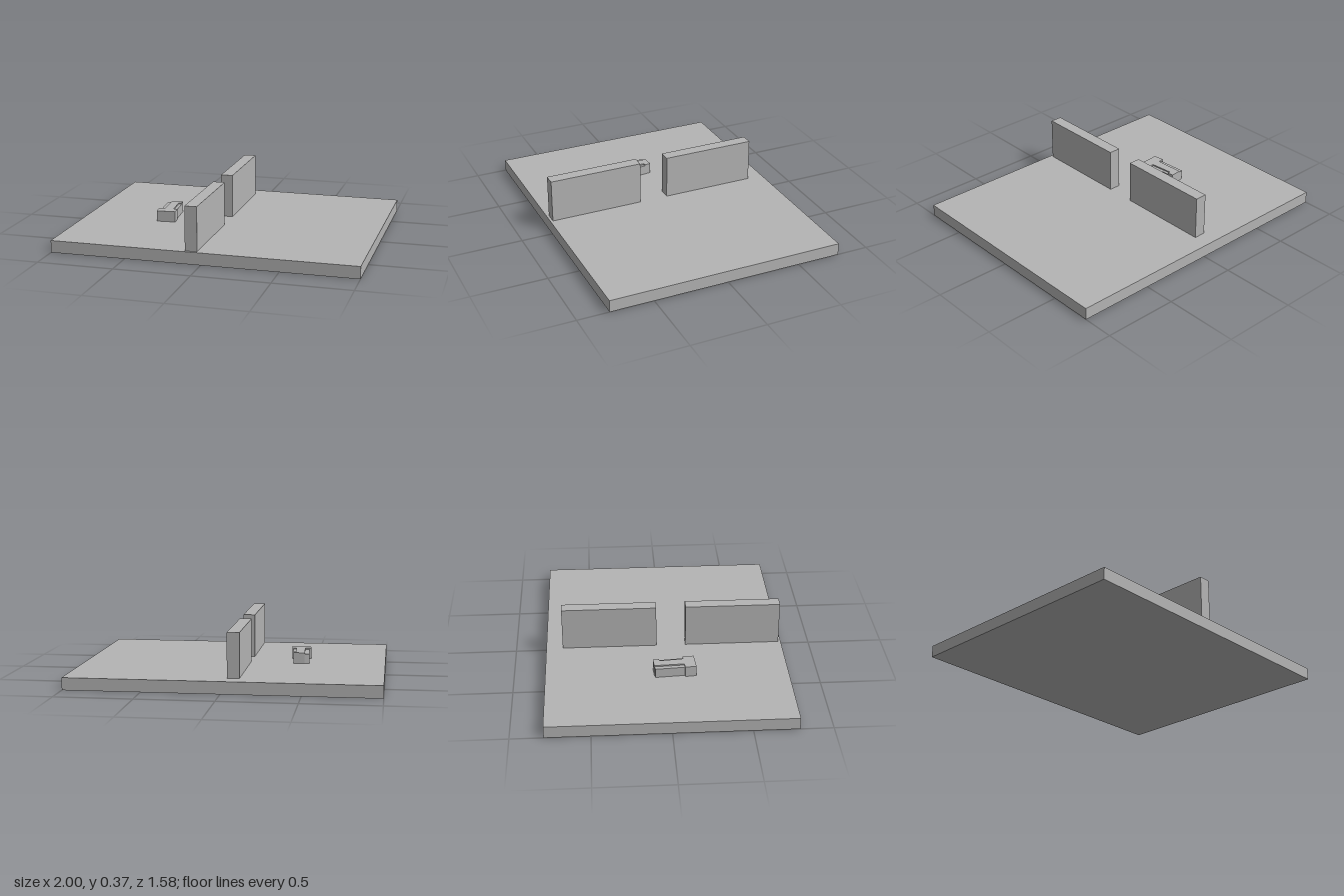
import * as THREE from 'three';

export function createModel() {
  const model = new THREE.Group();
  const grey = new THREE.MeshStandardMaterial({ color: 0xb4b4b4 });
  grey.name = 'plain grey';

  const add = (name, geometry) => {
    const mesh = new THREE.Mesh(geometry, grey);
    mesh.name = name;
    model.add(mesh);
    return mesh;
  };

  // Box given by its limits on each axis
  const box = (name, [x0, x1], [y0, y1], [z0, z1]) =>
    add(name, new THREE.BoxGeometry(x1 - x0, y1 - y0, z1 - z0))
      .position.set((x0 + x1) / 2, (y0 + y1) / 2, (z0 + z1) / 2);

  // Upright prism from an outline of [x, z] points
  const prism = (name, outline, y0, y1) => {
    const shape = new THREE.Shape(outline.map(([x, z]) => new THREE.Vector2(x, -z)));
    const geometry = new THREE.ExtrudeGeometry(shape, { depth: y1 - y0, bevelEnabled: false });
    geometry.rotateX(-Math.PI / 2);
    add(name, geometry).position.y = y0;
  };

  // Ground slab and the two walls with a gap between them
  box('baseSlab', [-1, 1], [0, 0.08], [-0.79, 0.79]);
  box('backWall', [-0.106, -0.027], [0.08, 0.37], [-0.68, -0.052]);
  box('frontWall', [-0.106, -0.027], [0.08, 0.37], [0.143, 0.773]);

  // Small turned bench: wide front block, with ledges along both sides
  const frontEnd = [[-0.37, 0.105], [-0.363, 0.178], [-0.49, 0.187], [-0.497, 0.115]];
  prism('benchBody', [
    [-0.497, -0.077], [-0.467, -0.085], [-0.393, -0.09], [-0.376, 0.106],
    ...frontEnd, [-0.483, 0.113],
  ], 0.08, 0.143);
  prism('benchTop', [
    [-0.467, -0.085], [-0.393, -0.09], [-0.39, -0.05], [-0.41, -0.047], [-0.395, 0.108],
    ...frontEnd, [-0.457, 0.111],
  ], 0.143, 0.152);

  return model;
}
